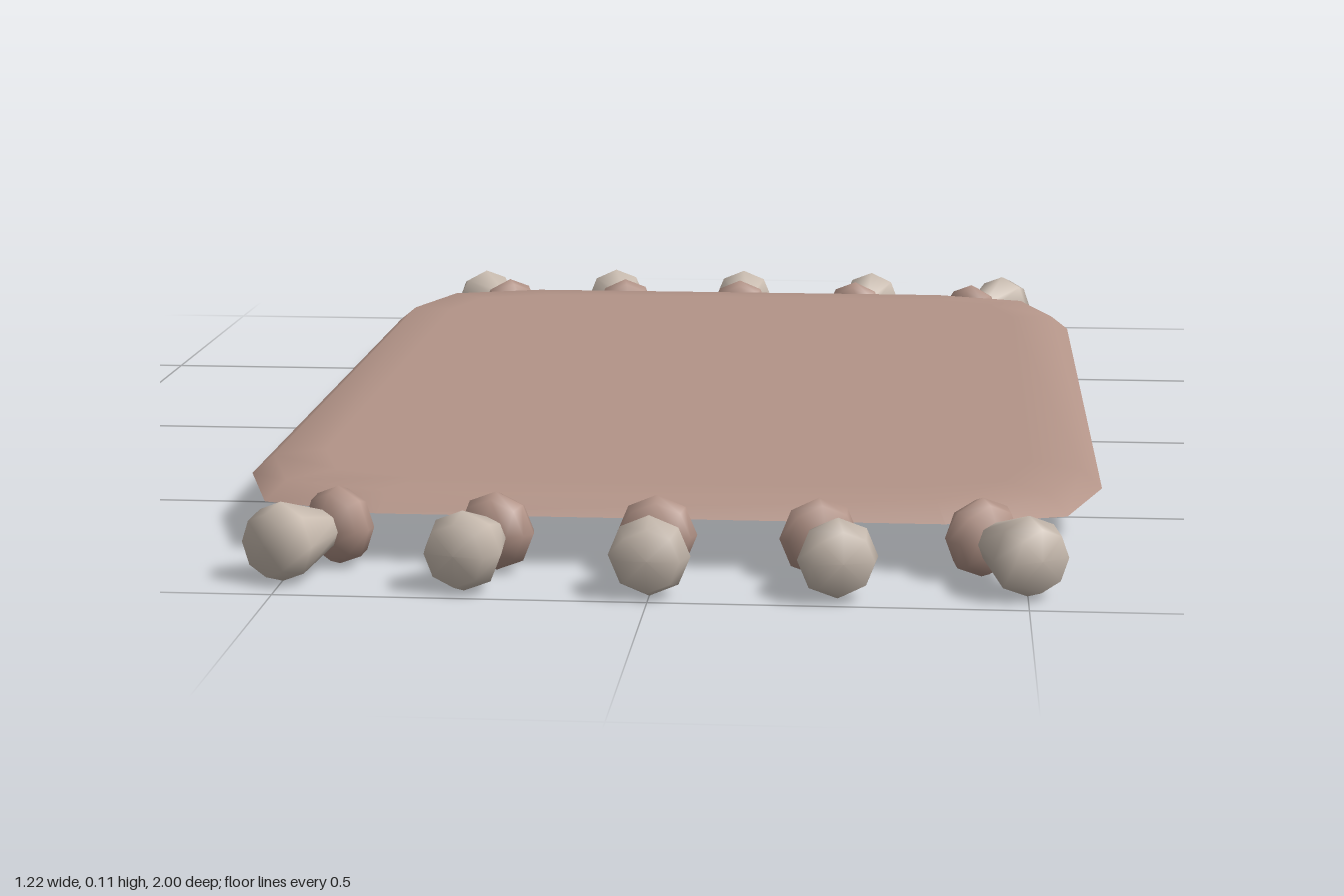
import * as THREE from 'three';

const rugColour = new THREE.MeshStandardMaterial({ color: 0xb39488, side: THREE.DoubleSide });
rugColour.name = 'dusty rose wool';
const fringeColour = new THREE.MeshStandardMaterial({ color: 0xc9bcb0 });
fringeColour.name = 'pale beige fringe';

// Rug outline with each corner cut by two straight runs, inset by d
function outline(d) {
  const w = 0.612 - d, l = 0.833 - d, r = 0.222 - d * 0.6;
  const corner = [[w, l - r], [w - r / 4, l - r / 4], [w - r, l]];
  const mirror = (sx, sz) => corner.map(([x, z]) => [x * sx, z * sz]);
  return [
    ...mirror(1, 1), ...mirror(-1, 1).reverse(),
    ...mirror(-1, -1), ...mirror(1, -1).reverse(),
  ];
}

// Thin sheet with a turned-down rim, lofted through [inset, height] loops
function makeRug() {
  const loops = [[0, 0.072], [0.03, 0.097], [0.1, 0.1]];
  const pos = [], index = [], n = 12;
  for (const [d, y] of loops) for (const [x, z] of outline(d)) pos.push(x, y, z);
  for (let k = 0; k < loops.length - 1; k++) {
    for (let i = 0; i < n; i++) {
      const a = k * n + i, b = k * n + (i + 1) % n;
      index.push(a, a + n, b, b, a + n, b + n);
    }
  }
  // Flat middle
  const inner = (loops.length - 1) * n, middle = loops.length * n;
  pos.push(0, 0.1, 0);
  for (let i = 0; i < n; i++) index.push(middle, inner + (i + 1) % n, inner + i);
  const geo = new THREE.BufferGeometry();
  geo.setAttribute('position', new THREE.Float32BufferAttribute(pos, 3));
  geo.setIndex(index);
  geo.computeVertexNormals();
  const mesh = new THREE.Mesh(geo, rugColour);
  mesh.name = 'rug';
  return mesh;
}

export function createModel() {
  const model = new THREE.Group();
  model.name = 'tasselledRug';
  model.add(makeRug());

  // Flattened knot and eight-sided flared threads, both pointing along +z
  const knotGeo = new THREE.SphereGeometry(0.055, 8, 6).scale(1, 0.68, 1).rotateX(Math.PI / 2);
  const profile = [[0, 0.01], [0.024, 0.022], [0.055, 0.112], [0.043, 0.144], [0, 0.146]];
  const threadGeo = new THREE.LatheGeometry(
    profile.map(([r, t]) => new THREE.Vector2(r, t)), 8).rotateX(Math.PI / 2);

  // Five tassels fanning out along each short end: x, z, angle
  const places = [[0, 0.854, 0], [0.22, 0.852, 0.26], [-0.22, 0.852, -0.26],
    [0.44, 0.836, 0.56], [-0.44, 0.836, -0.56]];
  for (const [side, turn] of [['front', 0], ['back', Math.PI]]) {
    const fringe = new THREE.Group();
    fringe.name = side + 'Fringe';
    fringe.rotation.y = turn;
    for (const [x, z, angle] of places) {
      const tassel = new THREE.Group();
      tassel.name = 'tassel';
      const knot = new THREE.Mesh(knotGeo, rugColour);
      knot.name = 'knot';
      const threads = new THREE.Mesh(threadGeo, fringeColour);
      threads.name = 'threads';
      tassel.add(knot, threads);
      tassel.position.set(x, 0.056, z);
      tassel.rotation.y = angle;
      fringe.add(tassel);
    }
    model.add(fringe);
  }
  return model;
}
